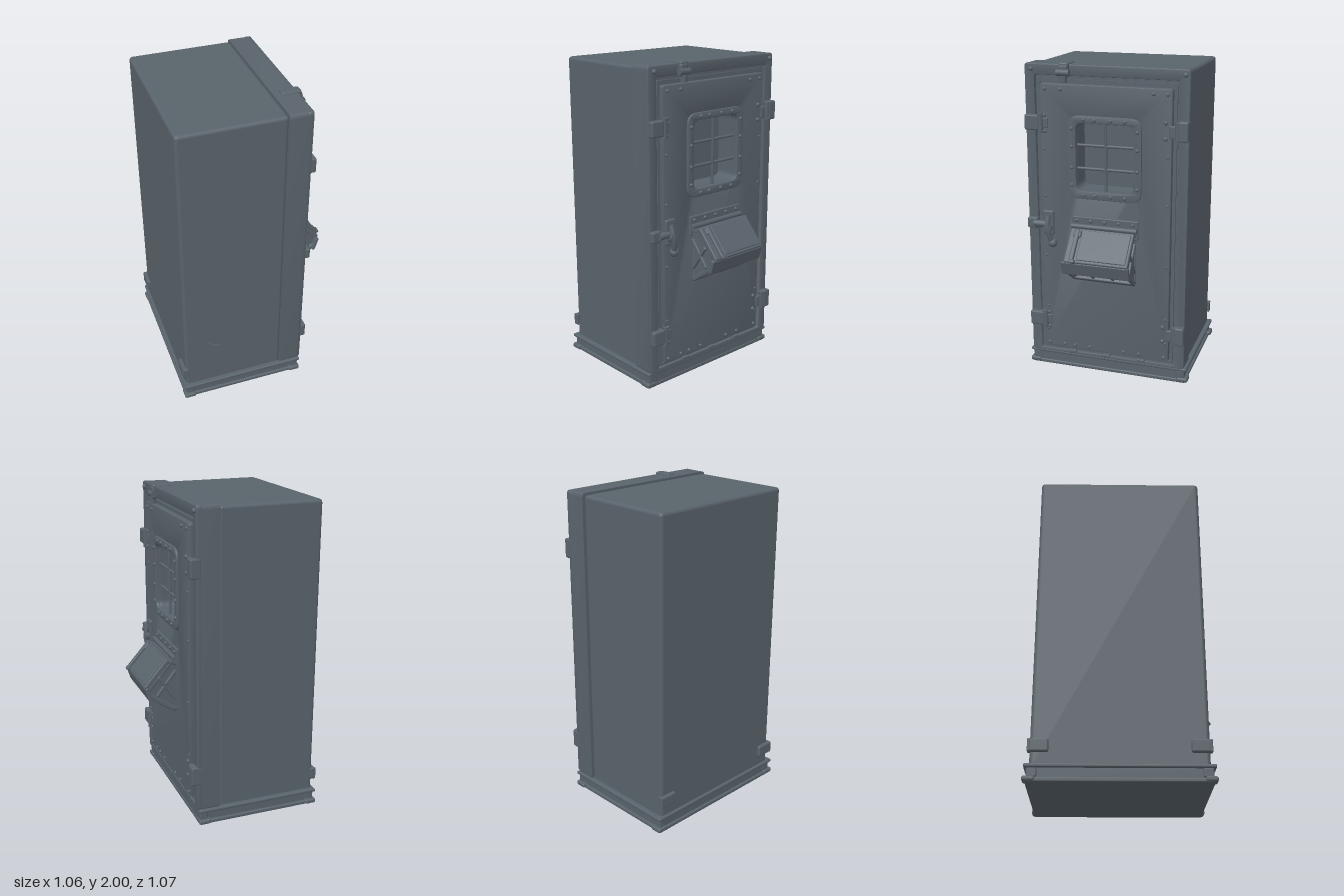
import * as THREE from 'three';
import { toCreasedNormals } from 'three/addons/utils/BufferGeometryUtils.js';
import { RoundedBoxGeometry } from 'three/addons/geometries/RoundedBoxGeometry.js';

// Parts are laid out with the door facing local +z; the cabin group is then turned to face +x.
export function createModel() {
  const steel = new THREE.MeshStandardMaterial({ color: 0x59636b });
  steel.name = 'slate steel';
  const model = new THREE.Group();
  const cabin = new THREE.Group();
  cabin.name = 'cabin';
  cabin.rotation.y = Math.PI / 2;
  model.add(cabin);

  const add = (name, geo, parent = cabin) => {
    const m = new THREE.Mesh(geo, steel);
    m.name = name;
    parent.add(m);
    return m;
  };
  // Box given by its limits, with optional rounded edges
  const box = (name, x0, x1, y0, y1, z0, z1, r = 0, parent = cabin) => {
    const s = [x1 - x0, y1 - y0, z1 - z0];
    const m = add(name, r ? new RoundedBoxGeometry(...s, 2, r) : new THREE.BoxGeometry(...s), parent);
    m.position.set((x0 + x1) / 2, (y0 + y1) / 2, (z0 + z1) / 2);
    return m;
  };
  const outline = (path, x0, x1, y0, y1, r) => {
    path.moveTo(x0 + r, y0).lineTo(x1 - r, y0).quadraticCurveTo(x1, y0, x1, y0 + r)
      .lineTo(x1, y1 - r).quadraticCurveTo(x1, y1, x1 - r, y1)
      .lineTo(x0 + r, y1).quadraticCurveTo(x0, y1, x0, y1 - r)
      .lineTo(x0, y0 + r).quadraticCurveTo(x0, y0, x0 + r, y0);
    return path;
  };
  // Panel with a rectangular hole; outer and inner are [x0, x1, y0, y1, radius]
  const ring = (name, outer, inner, z0, z1, bevel = 0) => {
    const s = outline(new THREE.Shape(), ...outer);
    s.holes.push(outline(new THREE.Path(), ...inner));
    const g = new THREE.ExtrudeGeometry(s, {
      depth: z1 - z0 - bevel, curveSegments: 6, bevelEnabled: bevel > 0,
      bevelSize: bevel, bevelThickness: bevel, bevelOffset: -bevel, bevelSegments: 2,
    });
    return add(name, toCreasedNormals(g.translate(0, 0, z0), 0.6));
  };
  const rod = (name, r, len, x, y, z, axis, parent = cabin) => {
    const g = new THREE.CylinderGeometry(r, r, len, 10);
    if (axis === 'x') g.rotateZ(Math.PI / 2);
    if (axis === 'z') g.rotateX(Math.PI / 2);
    const m = add(name, g, parent);
    m.position.set(x, y, z);
    return m;
  };
  const rivet = (x, y, z, r = 0.013) => {
    const m = add('rivet', new THREE.SphereGeometry(r, 8, 4, 0, Math.PI * 2, 0, Math.PI / 2).rotateX(Math.PI / 2));
    m.position.set(x, y, z);
  };

  // Main body and the collar around the door end
  box('body', -0.5, 0.5, 0.08, 1.977, -0.508, 0.14, 0.022);
  const hole = [-0.182, 0.182, 1.225, 1.645, 0.045];
  ring('collar', [-0.513, 0.513, 0.09, 1.988, 0.025], hole, 0.135, 0.255);
  ring('doorFrame', [-0.513, 0.513, 0.1, 1.988, 0.02], [-0.45, 0.45, 0.12, 1.92, 0.01], 0.25, 0.28, 0.006);
  ring('doorGasket', [-0.437, 0.437, 0.125, 1.9, 0.01], [-0.42, 0.42, 0.14, 1.88, 0.01], 0.25, 0.268);
  ring('door', [-0.413, 0.413, 0.145, 1.872, 0.015], hole, 0.25, 0.292, 0.005);

  // Plinth with two rails and flared corner feet
  box('plinthCore', -0.508, 0.508, 0.01, 0.09, -0.508, 0.265, 0.006);
  box('plinthTopRail', -0.53, 0.53, 0.082, 0.103, -0.525, 0.275, 0.008);
  box('plinthBottomRail', -0.522, 0.522, 0, 0.026, -0.522, 0.27, 0.008);
  for (const s of [-1, 1]) for (const z of [-0.49, 0.237]) {
    box('cornerFoot', s * 0.5 - 0.036, s * 0.5 + 0.036, 0.004, 0.035, z - 0.038, z + 0.038, 0.012);
    box('cornerPost', s * 0.485 - 0.03, s * 0.485 + 0.03, 0.03, 0.085, z - 0.024, z + 0.03, 0.008);
  }
  for (const s of [-1, 1]) {
    box('rearBracket', s * 0.45 - 0.055, s * 0.45 + 0.055, 0.17, 0.245, -0.53, -0.5, 0.01);
    box('rearBracketEar', s * 0.505 - 0.008, s * 0.505 + 0.008, 0.17, 0.245, -0.53, -0.49, 0.005);
  }

  // Window surround, crossbars and rivets
  ring('windowSurround', [-0.232, 0.232, 1.174, 1.69, 0.07], hole, 0.285, 0.306, 0.006);
  rod('windowBar', 0.009, 0.43, 0, 1.435, 0.272, 'y');
  for (const y of [1.36, 1.505]) rod('windowBar', 0.009, 0.37, 0, y, 0.268, 'x');
  for (const y of [1.2, 1.667]) for (const x of [-0.13, -0.06, 0.04, 0.13]) rivet(x, y, 0.304);
  for (const x of [-0.207, 0.207]) for (const y of [1.26, 1.37, 1.5, 1.61]) rivet(x, y, 0.304);

  // Door rivets
  for (const x of [-0.385, -0.28, -0.21, -0.11, 0.12, 0.22, 0.385]) rivet(x, 0.172, 0.29);
  for (const x of [-0.38, -0.28, 0.3, 0.385]) rivet(x, 1.84, 0.29);
  for (const y of [0.27, 0.43, 0.78, 1.17, 1.47]) for (const x of [-0.392, 0.392]) rivet(x, y, 0.29, 0.01);
  for (const x of [-0.47, 0.485]) rivet(x, 1.955, 0.28, 0.016);
  for (const x of [-0.23, 0, 0.23]) box('sillClip', x - 0.025, x + 0.025, 0.108, 0.13, 0.26, 0.288, 0.004);

  // Hinges and clamps on both door edges
  for (const y of [0.335, 1.63]) {
    box('clampBlock', -0.512, -0.42, y - 0.045, y + 0.05, 0.26, 0.312, 0.01);
    box('clampTongue', -0.42, -0.362, y - 0.03, y + 0.035, 0.28, 0.3, 0.006);
    rod('clampPin', 0.018, 0.12, -0.41, y, 0.297, 'y');
    rivet(-0.385, y + 0.05, 0.29);
    rivet(-0.385, y - 0.05, 0.29);
    box('hingeBlock', 0.455, 0.515, y - 0.06, y + 0.06, 0.25, 0.318, 0.01);
    box('hingeLeaf', 0.4, 0.465, y - 0.045, y + 0.03, 0.28, 0.303, 0.006);
    rod('hingePin', 0.018, 0.11, 0.45, y, 0.298, 'y');
    for (const dy of [-0.05, 0.045]) rivet(0.375, y + dy, 0.29, 0.015);
  }

  // Lock plate, bolt and handle
  box('lockPlate', -0.41, -0.335, 0.92, 1.08, 0.285, 0.31, 0.01);
  box('lockCatch', -0.512, -0.445, 0.955, 1.025, 0.26, 0.31, 0.01);
  rod('lockBolt', 0.022, 0.1, -0.415, 0.99, 0.305, 'x');
  rod('lockPivot', 0.028, 0.05, -0.37, 0.97, 0.312, 'z');
  const handle = new THREE.CatmullRomCurve3([[-0.37, 1.05, 0.308], [-0.37, 0.97, 0.328], [-0.355, 0.9, 0.318], [-0.345, 0.865, 0.305]]
    .map(p => new THREE.Vector3(...p)));
  add('lockHandle', new THREE.TubeGeometry(handle, 10, 0.017, 8));
  add('handleKnob', new THREE.SphereGeometry(0.03, 10, 8)).position.set(-0.345, 0.87, 0.305);

  // Latch on the top edge
  box('topLatchStrap', -0.287, -0.225, 1.95, 2, 0.18, 0.3, 0.012);
  box('topLatchBody', -0.287, -0.23, 1.91, 1.985, 0.27, 0.305, 0.01);
  rod('topLatchPin', 0.02, 0.08, -0.258, 1.94, 0.298, 'x');
  rod('topLatchTail', 0.022, 0.04, -0.258, 1.9, 0.293, 'y');

  // Sloping hatch hood on the door
  const hatch = new THREE.Group();
  hatch.name = 'hatch';
  cabin.add(hatch);
  // Flat bar between two [z, y] points, spanning x0..x1
  const slab = (name, p, q, t, x0, x1) => {
    const dz = q[0] - p[0], dy = q[1] - p[1];
    const m = add(name, new RoundedBoxGeometry(x1 - x0, Math.hypot(dz, dy), t, 2, Math.min(t * 0.3, 0.008)), hatch);
    m.position.set((x0 + x1) / 2, (p[1] + q[1]) / 2, (p[0] + q[0]) / 2);
    m.rotation.x = Math.atan2(dz, dy);
  };
  box('hatchPlate', -0.21, 0.215, 0.94, 1.06, 0.285, 0.305, 0.006, hatch);
  box('hatchBackPlate', -0.2, 0.2, 0.65, 0.96, 0.285, 0.298, 0.004, hatch);
  rod('hatchHingeRod', 0.016, 0.42, 0, 1.0, 0.315, 'x', hatch);
  for (const x of [-0.18, -0.09, 0, 0.09, 0.18]) rivet(x, 1.035, 0.303);
  const cheek = new THREE.Shape([[0.29, 0.67], [0.32, 0.66], [0.475, 0.775], [0.485, 0.84], [0.36, 0.985], [0.29, 0.975]]
    .map(p => new THREE.Vector2(...p)));
  for (const x of [-0.175, 0.19]) {
    const g = new THREE.ExtrudeGeometry(cheek, { depth: 0.015, bevelEnabled: false });
    add('hatchCheek', g.rotateY(-Math.PI / 2), hatch).position.x = x;
    const [a, b] = x < 0 ? [-0.205, -0.185] : [0.185, 0.203];
    slab('cheekRim', [0.31, 0.655], [0.49, 0.78], 0.03, a, b);
    slab('cheekRim', [0.305, 0.92], [0.43, 0.76], 0.022, a, b);
    slab('cheekRim', [0.31, 0.73], [0.42, 0.89], 0.022, a, b);
  }
  slab('hatchTop', [0.29, 0.965], [0.37, 0.985], 0.025, -0.195, 0.2);
  slab('hatchLid', [0.355, 0.995], [0.505, 0.825], 0.03, -0.195, 0.21);
  slab('hatchLidUnder', [0.335, 0.975], [0.485, 0.805], 0.026, -0.19, 0.2);
  slab('hatchLidCover', [0.375, 0.995], [0.505, 0.848], 0.014, -0.115, 0.195);
  slab('hatchLip', [0.5, 0.83], [0.475, 0.745], 0.025, -0.215, 0.215);
  // Barred opening on the underside
  slab('grilleEnd', [0.3, 0.65], [0.335, 0.675], 0.028, -0.195, 0.195);
  slab('grilleEnd', [0.445, 0.75], [0.48, 0.775], 0.028, -0.195, 0.195);
  for (const x of [-0.065, 0.065]) slab('grilleBar', [0.31, 0.66], [0.475, 0.77], 0.014, x - 0.007, x + 0.007);
  rod('hatchDrain', 0.008, 0.03, 0, 0.65, 0.315, 'y', hatch);
  // Lid handle
  slab('lidHandle', [0.375, 1.0], [0.515, 0.842], 0.03, -0.158, -0.13);
  slab('lidHandleGrip', [0.495, 0.83], [0.53, 0.85], 0.024, -0.158, -0.12);
  slab('lidHandleFoot', [0.37, 0.99], [0.4, 0.955], 0.04, -0.17, -0.118);

  // Loose wire end on the side wall
  const wire = new THREE.CatmullRomCurve3([[-0.498, 0.425, -0.35], [-0.515, 0.42, -0.33], [-0.53, 0.42, -0.3], [-0.532, 0.42, -0.275]]
    .map(p => new THREE.Vector3(...p)));
  add('wireEnd', new THREE.TubeGeometry(wire, 8, 0.004, 5));

  return model;
}
